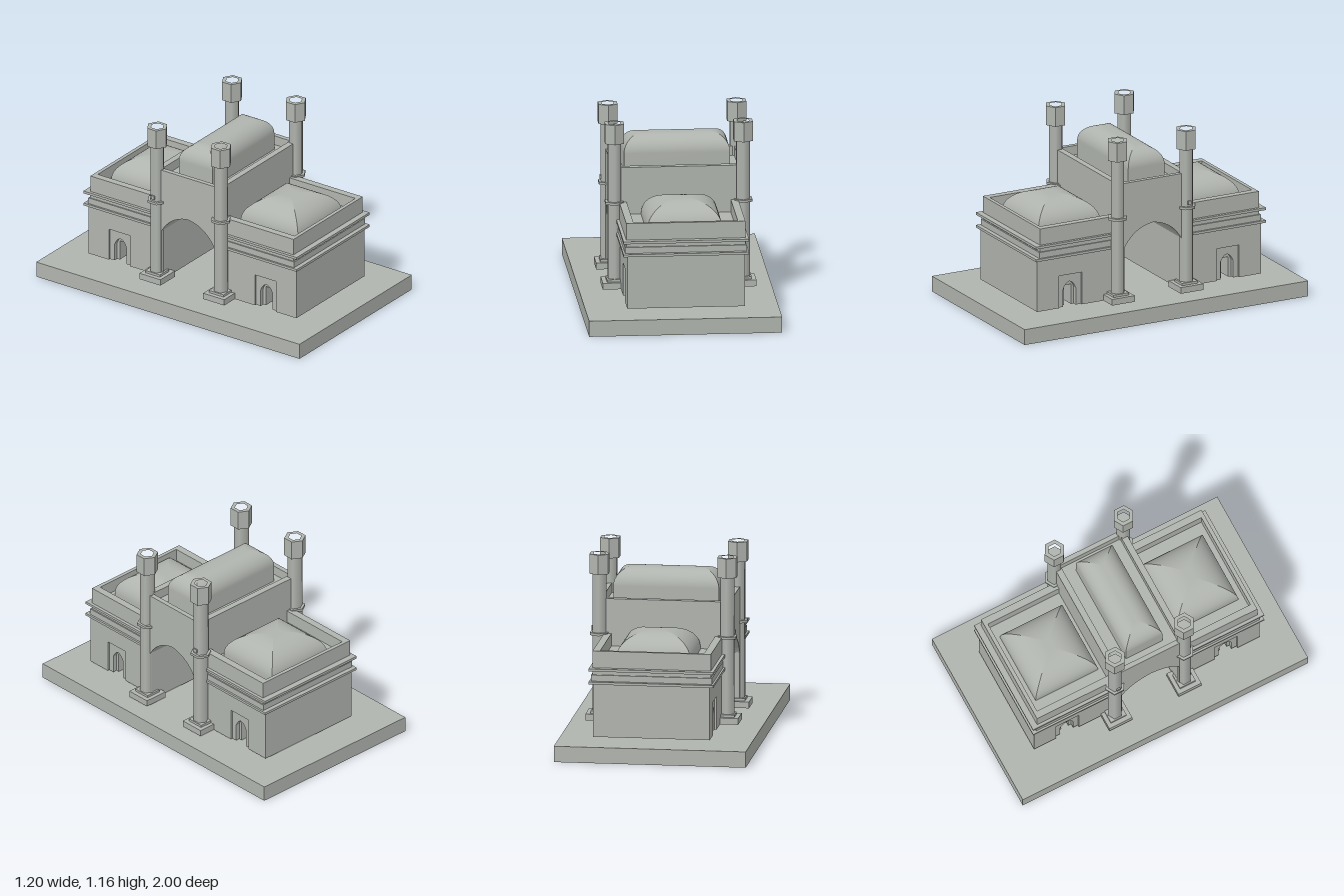
import * as THREE from 'three';

const stone = new THREE.MeshStandardMaterial({ color: 0xb0b4ae });
stone.name = 'pale grey stone';

function add(parent, name, geometry, x = 0, y = 0, z = 0) {
  const mesh = new THREE.Mesh(geometry, stone);
  mesh.name = name;
  mesh.position.set(x, y, z);
  parent.add(mesh);
  return mesh;
}

// Box given by its limits
function block(parent, name, x0, x1, y0, y1, z0, z1) {
  return add(parent, name, new THREE.BoxGeometry(x1 - x0, y1 - y0, z1 - z0),
    (x0 + x1) / 2, (y0 + y1) / 2, (z0 + z1) / 2);
}

// Shape drawn in (z, y), extruded across x from x0 to x1
function slabAcross(parent, name, shape, x0, x1) {
  const g = new THREE.ExtrudeGeometry(shape, { depth: x1 - x0, bevelEnabled: false, curveSegments: 12 });
  g.rotateY(-Math.PI / 2);
  return add(parent, name, g, x1);
}

// Wall outline with an opening in its foot: half width w, springing line, apex
function wallShape(z0, z1, y0, y1, mid, w, spring, apex) {
  const s = new THREE.Shape();
  s.moveTo(z0, y0);
  s.lineTo(mid - w, y0);
  s.lineTo(mid - w, spring);
  if (apex > spring) {
    const rise = apex - spring;
    s.quadraticCurveTo(mid - w * 0.66, spring + rise * 0.88, mid, apex);
    s.quadraticCurveTo(mid + w * 0.66, spring + rise * 0.88, mid + w, spring);
  } else {
    s.lineTo(mid + w, spring);
  }
  s.lineTo(mid + w, y0);
  s.lineTo(z1, y0);
  s.lineTo(z1, y1);
  s.lineTo(z0, y1);
  s.closePath();
  return s;
}

// Rectangular vault: straight sides up to springY, then rounded to a flat top,
// with sharp hips at the corners
function vault(hx, hz, baseY, springY, topY, inset) {
  const rings = [[0, baseY]];
  const steps = 14;
  for (let i = 0; i <= steps; i++) {
    const a = (i / steps) * Math.PI / 2;
    rings.push([inset * (1 - Math.cos(a)), springY + (topY - springY) * Math.sin(a)]);
  }
  const corners = [[-1, 1], [1, 1], [1, -1], [-1, -1]];
  const pos = [], index = [];
  for (let side = 0; side < 4; side++) {
    const start = pos.length / 3;
    for (const [d, y] of rings) {
      for (const [cx, cz] of [corners[side], corners[(side + 1) % 4]]) {
        pos.push(cx * (hx - d), y, cz * (hz - d));
      }
    }
    for (let i = 0; i < rings.length - 1; i++) {
      const a = start + i * 2;
      index.push(a, a + 1, a + 3, a, a + 3, a + 2);
    }
  }
  const top = pos.length / 3;
  for (const [cx, cz] of corners) pos.push(cx * (hx - inset), topY, cz * (hz - inset));
  index.push(top, top + 1, top + 2, top, top + 2, top + 3);
  const g = new THREE.BufferGeometry();
  g.setAttribute('position', new THREE.Float32BufferAttribute(pos, 3));
  g.setIndex(index);
  g.computeVertexNormals();
  return g;
}

// Six-sided prism with flat faces, points toward front and back
function hexPrism(r, h) {
  return new THREE.CylinderGeometry(r, r, h, 6).toNonIndexed();
}

function hexPath(Type, r) {
  const pts = [];
  for (let i = 0; i < 6; i++) {
    const a = i * Math.PI / 3;
    pts.push(new THREE.Vector2(r * Math.sin(a), r * Math.cos(a)));
  }
  return new Type(pts);
}

function makeWing(s) {
  const wing = new THREE.Group();
  wing.name = s > 0 ? 'frontWing' : 'backWing';
  const zs = (a, b) => (s > 0 ? [a, b] : [-b, -a]);
  const mid = 0.555 * s;
  const [z0, z1] = zs(0.22, 0.79);

  // Lower walls in layers: passage, arched door and square door recess
  slabAcross(wing, 'wingCore', wallShape(z0, z1, 0.12, 0.47, mid, 0.025, 0.25, 0.25), -0.325, 0.325);
  for (const m of [-1, 1]) {
    const span = (a, b) => (m > 0 ? [a, b] : [-b, -a]);
    slabAcross(wing, 'doorArch', wallShape(z0, z1, 0.12, 0.47, mid, 0.045, 0.23, 0.28), ...span(0.325, 0.352));
    slabAcross(wing, 'doorRecess', wallShape(z0, z1, 0.12, 0.47, mid, 0.08, 0.33, 0.33), ...span(0.352, 0.365));
  }

  // Cornice bands
  for (const y of [0.455, 0.538]) {
    block(wing, 'corniceBand', -0.39, 0.39, y, y + 0.016, ...zs(0.25, 0.81));
  }
  block(wing, 'corniceStep', -0.378, 0.378, 0.47, 0.51, ...zs(0.25, 0.782));

  // Upper storey, parapet and roof dome
  block(wing, 'wingRoof', -0.37, 0.37, 0.47, 0.58, ...zs(0.22, 0.772));
  block(wing, 'endParapet', -0.37, 0.37, 0.58, 0.66, ...zs(0.748, 0.772));
  for (const m of [-1, 1]) {
    block(wing, 'sideParapet', m * 0.347 - 0.023, m * 0.347 + 0.023, 0.58, 0.66, ...zs(0.22, 0.748));
  }
  add(wing, 'wingDome', vault(0.235, 0.218, 0.57, 0.6, 0.75, 0.19), 0, 0, 0.492 * s);
  return wing;
}

function makeHall() {
  const hall = new THREE.Group();
  hall.name = 'centralHall';
  // Gate block with the arched passage
  slabAcross(hall, 'archBlock', wallShape(-0.25, 0.25, 0.12, 0.82, 0, 0.2, 0.46, 0.595), -0.415, 0.415);
  // Parapet
  for (const s of [-1, 1]) {
    block(hall, 'longParapet', -0.415, 0.415, 0.82, 0.88, s * 0.23 - 0.02, s * 0.23 + 0.02);
    block(hall, 'shortParapet', s * 0.4 - 0.015, s * 0.4 + 0.015, 0.82, 0.88, -0.21, 0.21);
  }
  // Long dome
  add(hall, 'centralDome', vault(0.33, 0.128, 0.81, 0.935, 1.043, 0.11));
  return hall;
}

function makeTower(x, z) {
  const tower = new THREE.Group();
  tower.name = 'cornerTower';
  block(tower, 'plinth', -0.078, 0.078, 0.12, 0.16, -0.08, 0.08);
  block(tower, 'plinthStep', -0.05, 0.05, 0.16, 0.175, -0.055, 0.055);
  add(tower, 'shaft', hexPrism(0.0475, 0.925), 0, 0.6375, 0);
  add(tower, 'collar', hexPrism(0.065, 0.016), 0, 0.659, 0);
  // Hollow six-sided cap
  const ring = hexPath(THREE.Shape, 0.068);
  ring.holes.push(hexPath(THREE.Path, 0.042));
  const cap = new THREE.ExtrudeGeometry(ring, { depth: 0.125, bevelEnabled: false });
  cap.rotateX(-Math.PI / 2);
  add(tower, 'towerCap', cap, 0, 1.04, 0);
  // Small wall fitting on the rear towers
  if (z < 0) {
    const side = Math.sign(x);
    block(tower, 'fitting', side * 0.043 - 0.007, side * 0.043 + 0.007, 0.68, 0.705, -0.012, 0.012);
  }
  tower.position.set(x, 0, z);
  return tower;
}

export function createModel() {
  const model = new THREE.Group();
  model.name = 'gatehouse';
  block(model, 'groundSlab', -0.6, 0.6, 0, 0.1, -1, 1);

  // The building sits slightly off the slab's centre
  const building = new THREE.Group();
  building.name = 'building';
  building.position.set(0.02, 0, 0.005);
  building.add(makeWing(1), makeWing(-1), makeHall());
  for (const sx of [-1, 1]) {
    for (const sz of [-1, 1]) building.add(makeTower(sx * 0.4, sz * 0.242));
  }
  model.add(building);
  return model;
}
